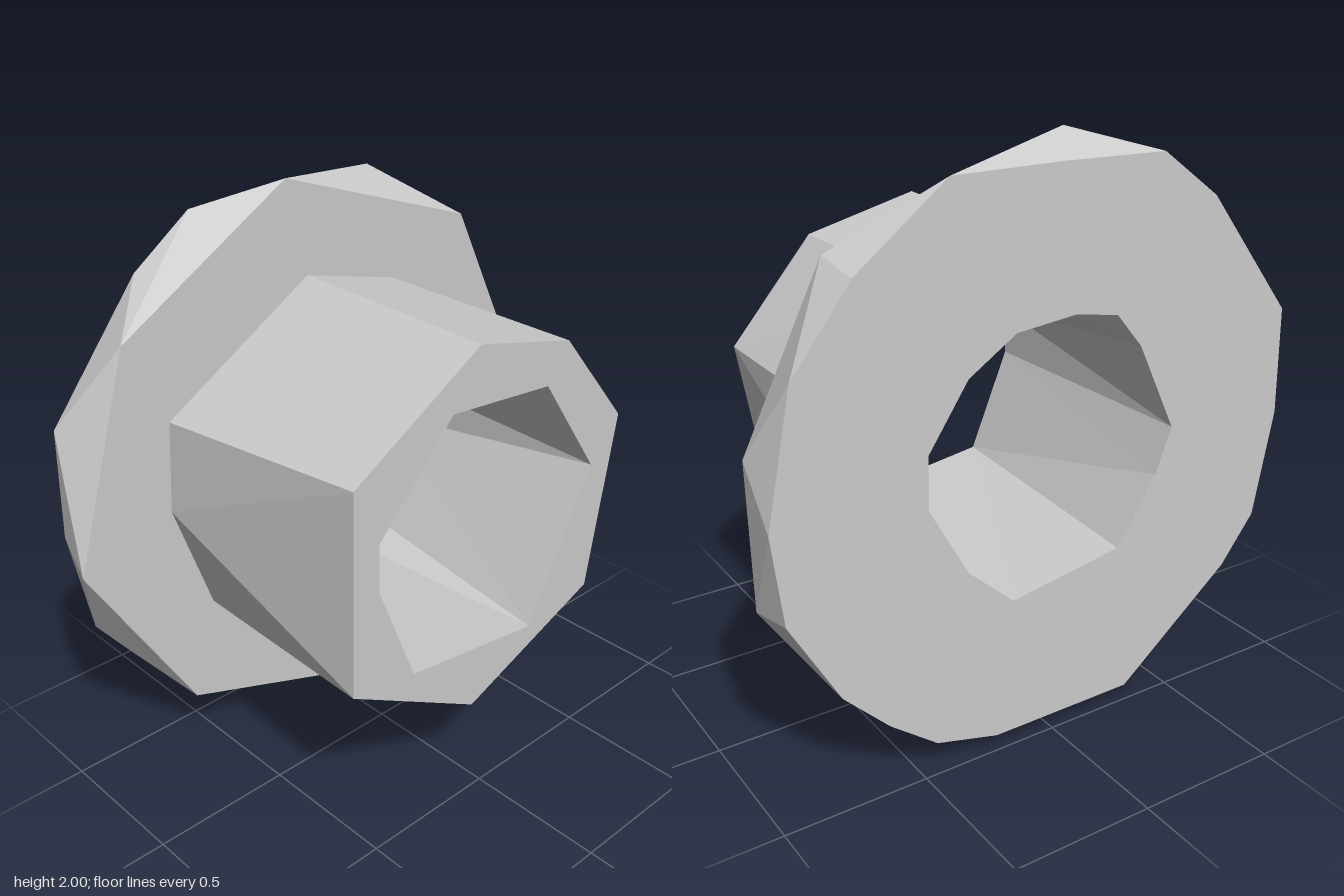
import * as THREE from 'three';

const BACK = -0.49, STEP = -0.33, FRONT = 0.485;
const angle = ([z, y]) => Math.atan2(y - 1, -z);
// Outlines are [z, y] points, sorted by angle around the axis
const ring = (pts) => pts.sort((p, q) => angle(p) - angle(q));

const flangeFront = ring([[0.11, 2], [0.77, 1.61], [0.99, 0.88], [0.6, 0.22], [-0.02, 0],
  [-0.56, 0.19], [-0.97, 0.68], [-0.98, 1.17], [-0.71, 1.72]]);
const flangeBack = ring([[0.38, 1.92], [0.6, 1.76], [0.94, 1.33], [0.95, 0.95], [0.88, 0.57], [0.75, 0.4],
  [0.32, 0.05], [-0.22, 0.05], [-0.45, 0.11], [-0.62, 0.24], [-0.78, 0.4], [-0.95, 0.7],
  [-0.985, 1], [-0.9, 1.43], [-0.7, 1.69], [-0.39, 1.93], [0, 1.93]]);
const tubeBase = ring([[0.03, 1.66], [0.62, 1.31], [0.64, 0.99], [0.5, 0.58], [0.04, 0.35],
  [-0.39, 0.44], [-0.63, 0.79], [-0.65, 1.2], [-0.36, 1.56]]);
const tubeFront = ring([[0.06, 1.66], [0.57, 1.36], [0.58, 0.65], [0.04, 0.34], [-0.54, 0.57],
  [-0.65, 1.21], [-0.35, 1.56]]);
const boreFront = ring([[0.17, 1.47], [0.47, 1.15], [0.47, 0.98], [0.32, 0.61], [-0.24, 0.53],
  [-0.52, 1.06], [-0.26, 1.43]]);
const boreBack = ring([[0.22, 1.43], [0.06, 1.46], [-0.16, 1.44], [-0.33, 1.33], [-0.47, 1.12], [-0.47, 0.94],
  [-0.29, 0.62], [-0.16, 0.54], [0.26, 0.61], [0.41, 0.84], [0.47, 1], [0.32, 1.31]]);

// Wall joining two outlines that may have different numbers of corners
function wall(a, xa, b, xb, inward = false) {
  const pos = [];
  const at = (r, k, x) => { const [z, y] = r[k % r.length]; return [x, y, z]; };
  const turn = (r, k) => angle(r[k % r.length]) + (k >= r.length ? 2 * Math.PI : 0);
  const mid = (r, k) => turn(r, k) + turn(r, k + 1);
  const tri = (p, q, r) => pos.push(...p, ...(inward ? r : q), ...(inward ? q : r));
  let i = 0, j = 0;
  while (i < a.length || j < b.length) {
    if (j >= b.length || (i < a.length && mid(a, i) < mid(b, j))) {
      tri(at(a, i, xa), at(a, i + 1, xa), at(b, j, xb));
      i++;
    } else {
      tri(at(a, i, xa), at(b, j + 1, xb), at(b, j, xb));
      j++;
    }
  }
  const g = new THREE.BufferGeometry();
  g.setAttribute('position', new THREE.Float32BufferAttribute(pos, 3));
  g.computeVertexNormals();
  return g;
}

// Flat annular face; side is 1 when it looks along +x, -1 along -x
function face(outer, inner, x, side) {
  const toPoints = (r) => r.map(([z, y]) => new THREE.Vector2(-side * z, y));
  const shape = new THREE.Shape(toPoints(outer));
  shape.holes.push(new THREE.Path(toPoints(inner)));
  return new THREE.ShapeGeometry(shape).rotateY(side * Math.PI / 2).translate(x, 0, 0);
}

export function createModel() {
  const group = new THREE.Group();
  const material = new THREE.MeshStandardMaterial({ color: 0xcccccc, flatShading: true });
  const add = (name, geometry) => {
    const mesh = new THREE.Mesh(geometry, material);
    mesh.name = name;
    group.add(mesh);
  };

  // Flange disc
  add('flangeRim', wall(flangeBack, BACK, flangeFront, STEP));
  add('flangeBackFace', face(flangeBack, boreBack, BACK, -1));
  add('flangeFrontFace', face(flangeFront, tubeBase, STEP, 1));

  // Sleeve and the bore running through everything
  add('sleeveWall', wall(tubeBase, STEP, tubeFront, FRONT));
  add('sleeveEndFace', face(tubeFront, boreFront, FRONT, 1));
  add('boreWall', wall(boreBack, BACK, boreFront, FRONT, true));
  return group;
}
